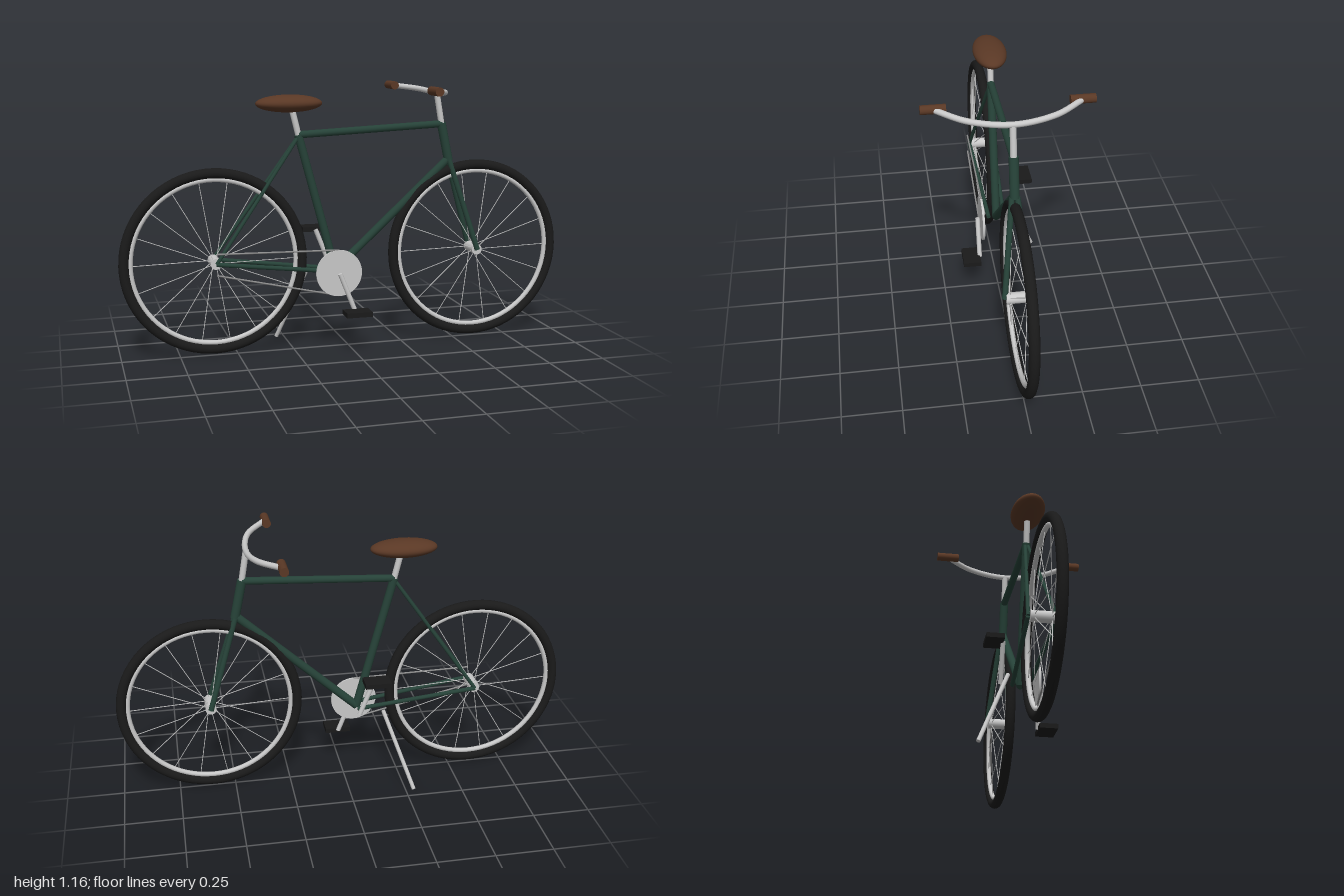
import * as THREE from 'three';

const mat = (name, color) => Object.assign(new THREE.MeshStandardMaterial({ color }), { name });
const V = (x, y, z = 0) => new THREE.Vector3(x, y, z);
const UP = V(0, 1, 0);

export function createModel() {
  const green = mat('frame green', 0x264238);
  const silver = mat('silver', 0xc8c8c8);
  const steel = mat('chain steel', 0x8c8c8c);
  const black = mat('rubber black', 0x1a1a1a);
  const brown = mat('leather brown', 0x5a3825);

  const bike = new THREE.Group();
  bike.name = 'bicycle';

  const add = (name, geometry, material, pos = V(0, 0), parent = bike) => {
    const mesh = new THREE.Mesh(geometry, material);
    mesh.name = name;
    mesh.position.copy(pos);
    parent.add(mesh);
    return mesh;
  };

  // Straight round bar between two points
  const bar = (name, a, b, r, material, parent = bike, sides = 14) => {
    const dir = b.clone().sub(a);
    const geo = new THREE.CylinderGeometry(r, r, dir.length(), sides);
    const mesh = add(name, geo, material, a.clone().add(b).multiplyScalar(0.5), parent);
    mesh.quaternion.setFromUnitVectors(UP, dir.normalize());
    return mesh;
  };

  const rear = V(-0.594, 0.414), front = V(0.594, 0.414);
  const crankAxis = V(-0.059, 0.348), seatTop = V(-0.222, 0.952);
  const headTop = V(0.432, 0.988), headLow = V(0.468, 0.82);

  // Wheels: tyre, rim, hub and spokes
  const makeWheel = (name, centre) => {
    const wheel = new THREE.Group();
    wheel.name = name;
    wheel.position.copy(centre);
    bike.add(wheel);
    add('tyre', new THREE.TorusGeometry(0.384, 0.022, 14, 72), black, V(0, 0), wheel);
    add('rim', new THREE.TorusGeometry(0.357, 0.011, 10, 72), silver, V(0, 0), wheel);
    bar('hub', V(0, 0, -0.05), V(0, 0, 0.05), 0.024, silver, wheel, 18);
    const count = 18;
    for (let i = 0; i < count; i++) {
      const a = (i / count) * Math.PI * 2, c = Math.cos(a), s = Math.sin(a);
      const side = i % 2 ? -1 : 1;
      bar('spoke', V(c * 0.018, s * 0.018, side * 0.035), V(c * 0.355, s * 0.355), 0.0018, silver, wheel, 6);
    }
  };
  makeWheel('rearWheel', rear);
  makeWheel('frontWheel', front);

  // Main frame
  bar('seatTube', crankAxis, seatTop, 0.018, green);
  bar('topTube', seatTop, V(0.432, 0.985), 0.016, green);
  bar('downTube', crankAxis, V(0.466, 0.828), 0.018, green);
  bar('headTube', headLow, headTop, 0.02, green);

  // Stays and fork blades, mirrored
  for (const s of [-1, 1]) {
    bar('seatStay', V(-0.222, 0.945, s * 0.005), V(rear.x, rear.y, s * 0.058), 0.008, green);
    bar('chainStay', V(crankAxis.x, 0.348, s * 0.035), V(rear.x, rear.y, s * 0.058), 0.0095, green);
    bar('forkBlade', V(0.468, 0.822, s * 0.011), V(front.x, front.y, s * 0.056), 0.012, green);
  }

  // Saddle and seat post
  bar('seatPost', seatTop, V(-0.252, 1.075), 0.0135, silver);
  add('saddle', new THREE.SphereGeometry(1, 36, 20), brown, V(-0.262, 1.087)).scale.set(0.146, 0.038, 0.073);

  // Stem, handlebar and grips
  bar('stem', headTop, V(0.409, 1.122), 0.0135, silver);
  const curve = new THREE.CatmullRomCurve3([
    V(0.294, 1.145, -0.3), V(0.383, 1.133, -0.17), V(0.411, 1.121, 0),
    V(0.383, 1.133, 0.17), V(0.294, 1.145, 0.3),
  ]);
  add('handlebar', new THREE.TubeGeometry(curve, 48, 0.0125, 12), silver);
  for (const s of [-1, 1]) {
    bar('grip', V(0.294, 1.145, s * 0.245), V(0.294, 1.145, s * 0.347), 0.019, brown);
  }

  // Chainring and chain runs
  bar('chainring', V(crankAxis.x, 0.348, 0.063), V(crankAxis.x, 0.348, 0.073), 0.103, silver, bike, 40);
  bar('chainUpper', V(rear.x, 0.46, 0.068), V(crankAxis.x, 0.45, 0.068), 0.004, steel, bike, 8);
  bar('chainLower', V(rear.x, 0.368, 0.068), V(crankAxis.x, 0.247, 0.068), 0.004, steel, bike, 8);

  // Cranks and pedals
  for (const s of [-1, 1]) {
    const end = V(crankAxis.x + s * 0.068, 0.348 - s * 0.171, s * 0.086);
    bar('crank', V(crankAxis.x, 0.348, s * 0.086), end, 0.0105, silver);
    add('pedal', new THREE.BoxGeometry(0.114, 0.021, 0.079), black, V(end.x, end.y, s * 0.125));
  }

  // Kickstand on the far side
  bar('kickstand', V(-0.168, 0.348, -0.07), V(-0.286, 0.005, -0.205), 0.009, silver);

  return bike;
}
